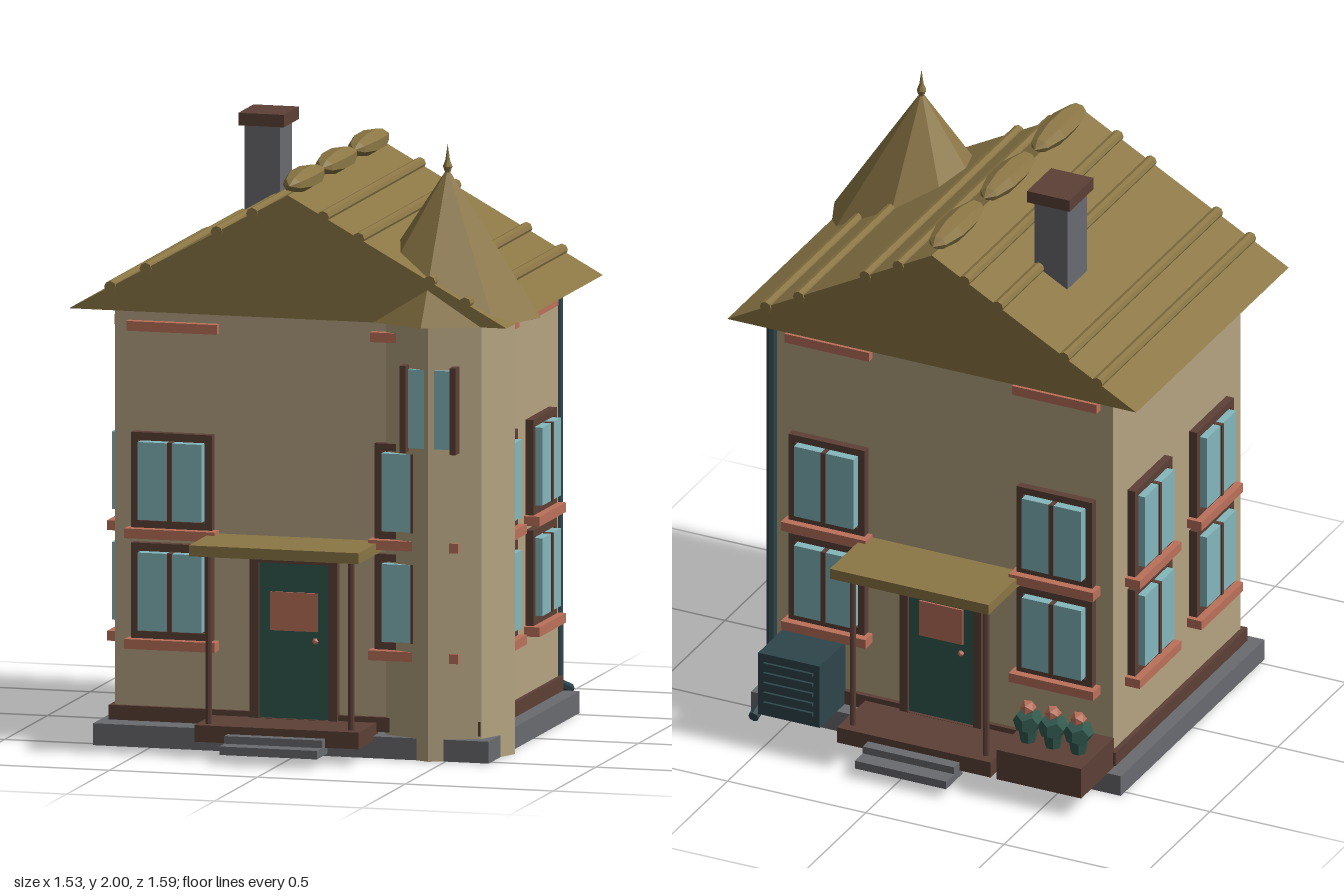
import * as THREE from 'three';

const mat = (name, color) => Object.assign(new THREE.MeshStandardMaterial({ color }), { name });
const M = {
  wall: mat('tan wall', 0xb5a482),
  roof: mat('olive roof', 0x8b7645),
  wood: mat('brown wood', 0x5c4036),
  trim: mat('salmon trim', 0xbb715b),
  glass: mat('blue glass', 0x84b8bd),
  green: mat('dark green', 0x31594f),
  metal: mat('dark slate metal', 0x2e454b),
  stone: mat('grey stone', 0x6a6b70),
};

// Mesh with faceted normals
function add(parent, name, geo, material, x = 0, y = 0, z = 0) {
  const g = geo.index ? geo.toNonIndexed() : geo;
  g.computeVertexNormals();
  const mesh = new THREE.Mesh(g, material);
  mesh.name = name;
  mesh.position.set(x, y, z);
  parent.add(mesh);
  return mesh;
}

// Box given by its limits on each axis
function box(parent, name, material, [x0, x1], [y0, y1], [z0, z1]) {
  return add(parent, name, new THREE.BoxGeometry(x1 - x0, y1 - y0, z1 - z0), material,
    (x0 + x1) / 2, (y0 + y1) / 2, (z0 + z1) / 2);
}

function group(parent, name, x = 0, y = 0, z = 0, ry = 0) {
  const g = new THREE.Group();
  g.name = name;
  g.position.set(x, y, z);
  g.rotation.y = ry;
  parent.add(g);
  return g;
}

// Rectangular surround with a rectangular hole
function surround(parent, name, w, y0, y1, border, depth, openBottom) {
  const s = new THREE.Shape();
  s.moveTo(-w, y0).lineTo(w, y0).lineTo(w, y1).lineTo(-w, y1);
  const iw = w - border, b = openBottom ? y0 + 0.001 : y0 + border, t = y1 - border;
  s.holes.push(new THREE.Path().moveTo(-iw, b).lineTo(-iw, t).lineTo(iw, t).lineTo(iw, b));
  add(parent, name, new THREE.ExtrudeGeometry(s, { depth, bevelEnabled: false }), M.wood);
}

// Framed double window with sill, facing +z
function windowUnit(parent, x, y) {
  const g = group(parent, 'window', x, y, 0);
  surround(g, 'windowFrame', 0.137, -0.157, 0.157, 0.024, 0.028);
  box(g, 'windowBacking', M.wood, [-0.114, 0.114], [-0.134, 0.134], [0, 0.014]);
  for (const s of [-1, 1]) {
    const a = s * 0.008, b = s * 0.108;
    box(g, 'windowPane', M.glass, [Math.min(a, b), Math.max(a, b)], [-0.128, 0.128], [0.01, 0.05]);
  }
  box(g, 'mullion', M.wood, [-0.008, 0.008], [-0.13, 0.13], [0, 0.055]);
  box(g, 'sill', M.trim, [-0.153, 0.153], [-0.19, -0.158], [0, 0.053]);
}

// Two columns of windows, each under a trim bar
function windows(parent, dx) {
  for (const x of [-dx, dx]) {
    for (const y of [0.875, 0.511]) windowUnit(parent, x, y);
    box(parent, 'trimBar', M.trim, [x - 0.153, x + 0.153], [1.364, 1.396], [0, 0.028]);
  }
}

// Door, canopy, posts, deck and steps
function porch(parent) {
  const g = group(parent, 'porch');
  surround(g, 'doorFrame', 0.148, 0.11, 0.652, 0.03, 0.03, true);
  box(g, 'door', M.green, [-0.118, 0.118], [0.11, 0.622], [0, 0.018]);
  box(g, 'doorPanel', M.trim, [-0.079, 0.079], [0.4, 0.527], [0.018, 0.025]);
  add(g, 'doorKnob', new THREE.IcosahedronGeometry(0.011, 0), M.trim, 0.074, 0.37, 0.028);
  box(g, 'canopy', M.roof, [-0.287, 0.287], [0.67, 0.706], [0, 0.258]);
  for (const x of [-0.241, 0.241])
    add(g, 'post', new THREE.CylinderGeometry(0.011, 0.011, 0.57, 8), M.wood, x, 0.39, 0.182);
  box(g, 'deck', M.wood, [-0.278, 0.278], [0.055, 0.11], [0, 0.225]);
  box(g, 'upperStep', M.stone, [-0.165, 0.165], [0.06, 0.085], [0.2, 0.265]);
  box(g, 'lowerStep', M.stone, [-0.165, 0.165], [0.032, 0.06], [0.2, 0.323]);
}

export function createModel() {
  const model = new THREE.Group();
  model.name = 'house';
  const cx = -0.024;

  // Body
  box(model, 'foundation', M.stone, [-0.692, 0.646], [0, 0.072], [-0.53, 0.53]);
  box(model, 'walls', M.wall, [-0.635, 0.59], [0.08, 1.445], [-0.47, 0.47]);
  box(model, 'baseTrim', M.wood, [-0.652, 0.605], [0.08, 0.128], [-0.487, 0.487]);

  // Facades
  const front = group(model, 'frontFacade', cx, 0, 0.47, 0);
  const back = group(model, 'backFacade', cx, 0, -0.47, Math.PI);
  const right = group(model, 'leftFacade', 0.59, 0, 0, Math.PI / 2);
  const left = group(model, 'rightFacade', -0.635, 0, 0, -Math.PI / 2);
  for (const f of [front, back]) { windows(f, 0.412); porch(f); }
  for (const f of [left, right]) windows(f, 0.228);

  // Gable roof with ribs and ridge ornaments
  const eave = 1.44, ridge = 1.845, half = 0.74;
  const gable = new THREE.Shape();
  gable.moveTo(-half, eave).lineTo(half, eave).lineTo(0, ridge);
  add(model, 'roof', new THREE.ExtrudeGeometry(gable, { depth: 1.124, bevelEnabled: false }),
    M.roof, cx, 0, -0.562);
  for (const s of [-1, 1]) for (const d of [0.12, 0.24, 0.48, 0.6]) {
    const rib = new THREE.CylinderGeometry(0.02, 0.02, 1.134, 8).rotateX(Math.PI / 2);
    add(model, 'roofRib', rib, M.roof, cx + s * d, ridge - (ridge - eave) * d / half, 0);
  }
  for (const z of [-0.38, -0.003, 0.372]) {
    const blob = new THREE.SphereGeometry(1, 7, 5).rotateX(Math.PI / 2).scale(0.054, 0.04, 0.174);
    add(model, 'ridgeOrnament', blob, M.roof, cx, 1.872, z);
  }

  // Chimney
  box(model, 'chimney', M.stone, [-0.367, -0.248], [1.5, 1.96], [-0.262, -0.118]);
  box(model, 'chimneyCap', M.wood, [-0.384, -0.23], [1.955, 1.996], [-0.28, -0.102]);

  // Corner tower
  const tower = group(model, 'tower', 0.447, 0, 0.322);
  add(tower, 'towerWall', new THREE.CylinderGeometry(0.227, 0.227, 1.445, 8), M.wall, 0, 0.7225, 0);
  add(tower, 'towerRoof', new THREE.ConeGeometry(0.315, 0.48, 8), M.roof, 0, 1.68, 0);
  const finial = [[0, 1.88], [0.016, 1.925], [0.008, 1.945], [0, 2]].map(p => new THREE.Vector2(...p));
  add(tower, 'finial', new THREE.LatheGeometry(finial, 8), M.roof);
  box(tower, 'towerWindow', M.glass, [-0.07, 0.07], [1.028, 1.287], [0.17, 0.22]);
  for (const s of [-1, 1])
    box(tower, 'towerWindowBar', M.wood, [s * 0.084 - 0.01, s * 0.084 + 0.01], [1.014, 1.3], [0.17, 0.235]);

  // Planter with three flowering bushes
  const planter = group(model, 'planter');
  box(planter, 'planterBox', M.wood, [-0.643, -0.337], [0.07, 0.178], [-0.722, -0.48]);
  for (const x of [-0.582, -0.49, -0.4]) {
    add(planter, 'bushStem', new THREE.CylinderGeometry(0.035, 0.025, 0.06, 7), M.green, x, 0.2, -0.617);
    add(planter, 'bush', new THREE.DodecahedronGeometry(0.05, 0), M.green, x, 0.25, -0.617);
    add(planter, 'flower', new THREE.IcosahedronGeometry(0.028, 0), M.trim, x, 0.298, -0.617);
  }

  // Cooling unit with slats
  const unit = group(model, 'coolingUnit');
  box(unit, 'unitBody', M.metal, [0.328, 0.55], [0.08, 0.305], [-0.672, -0.48]);
  for (let i = 0; i < 5; i++) {
    const y = 0.12 + i * 0.036;
    box(unit, 'unitSlat', M.metal, [0.35, 0.528], [y, y + 0.012], [-0.682, -0.67]);
  }

  // Downpipe with kicked-out foot
  const pipe = group(model, 'downpipe');
  add(pipe, 'pipe', new THREE.CylinderGeometry(0.018, 0.018, 1.36, 8), M.metal, 0.573, 0.765, -0.527);
  const foot = add(pipe, 'pipeFoot', new THREE.CylinderGeometry(0.018, 0.018, 0.145, 8), M.metal, 0.573, 0.078, -0.592);
  foot.rotation.x = -Math.PI / 2 - 0.28 + Math.PI;
  foot.rotation.x = Math.PI / 2 - 0.28;

  return model;
}
